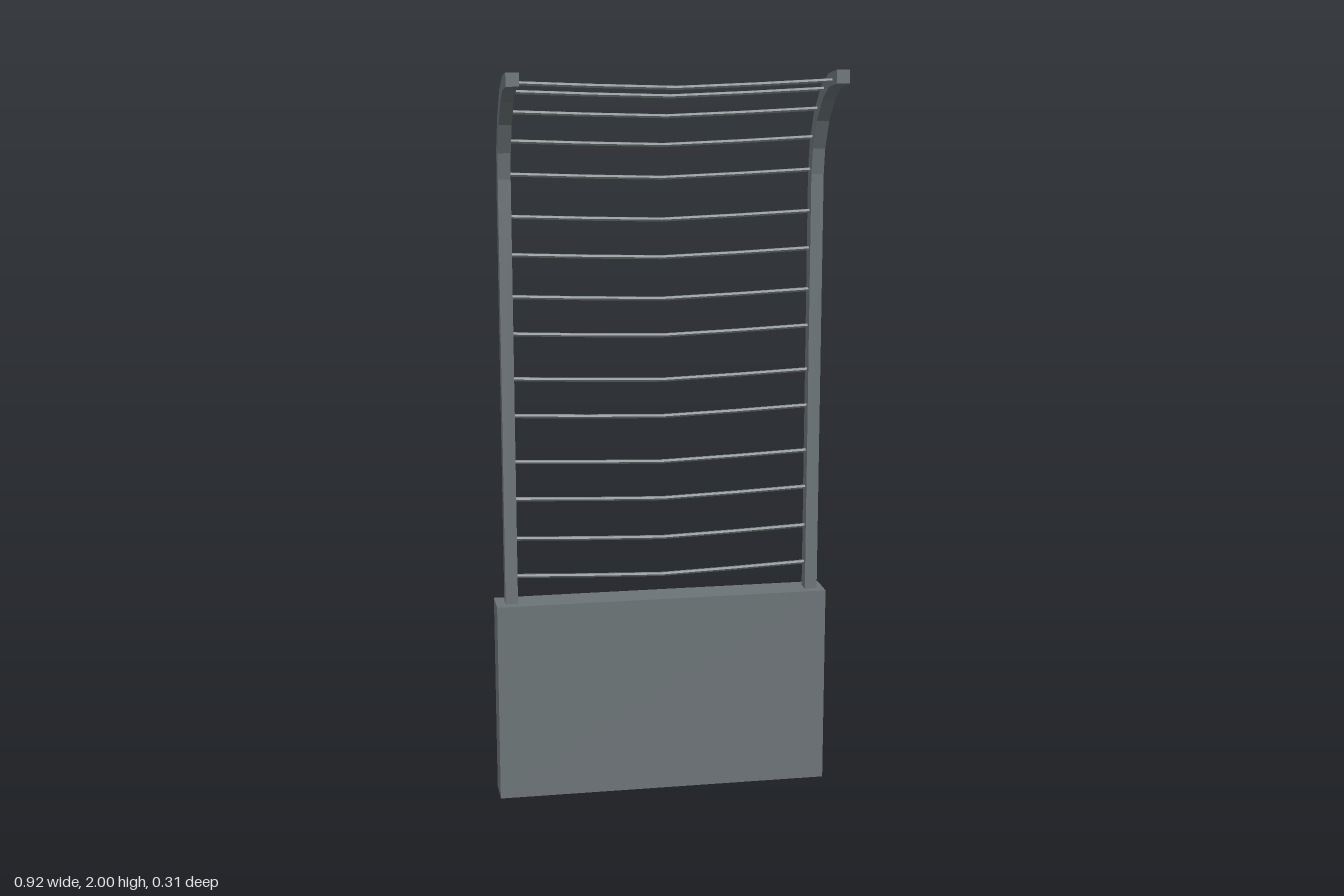
import * as THREE from 'three';

const steel = new THREE.MeshStandardMaterial({ color: 0x6c7477 });
steel.name = 'grey steel';

// Faceted mesh: unshared corners give flat normals
function addPart(group, name, geometry) {
  const flat = geometry.index ? geometry.toNonIndexed() : geometry;
  flat.computeVertexNormals();
  const mesh = new THREE.Mesh(flat, steel);
  mesh.name = name;
  group.add(mesh);
  return mesh;
}

// Side profile of a post as [z, y]: straight up, then bending forward
const outerEdge = [[-0.13, 0.54], [-0.13, 1.713], [-0.117, 1.795], [-0.075, 1.878],
  [-0.005, 1.95], [0.074, 1.987], [0.157, 2.0]];
const innerEdge = [[0.157, 1.965], [0.078, 1.952], [0.016, 1.918], [-0.042, 1.857],
  [-0.08, 1.782], [-0.092, 1.713], [-0.092, 0.54]];

function postGeometry(width) {
  const shape = new THREE.Shape([...outerEdge, ...innerEdge].map(([z, y]) => new THREE.Vector2(z, y)));
  const geo = new THREE.ExtrudeGeometry(shape, { depth: width, bevelEnabled: false });
  geo.translate(0, 0, -width / 2);
  geo.rotateY(-Math.PI / 2);
  return geo;
}

// Thin wire hung between the posts, sagging slightly at the middle
function wireGeometry(y, z) {
  const path = new THREE.CurvePath();
  const sag = [[-0.412, 0], [-0.2, -0.009], [0, -0.0155], [0.2, -0.009], [0.412, 0]];
  const points = sag.map(([x, dy]) => new THREE.Vector3(x + 0.004, y + dy, z));
  for (let i = 1; i < points.length; i++) path.add(new THREE.LineCurve3(points[i - 1], points[i]));
  return new THREE.TubeGeometry(path, 4, 0.006, 6, false);
}

export function createModel() {
  const model = new THREE.Group();
  model.name = 'wireFence';

  // Solid base block
  addPart(model, 'base', new THREE.BoxGeometry(0.92, 0.555, 0.093)).position.set(0, 0.2775, -0.1115);

  // Curved posts
  addPart(model, 'rightPost', postGeometry(0.034)).position.x = -0.417;
  addPart(model, 'leftPost', postGeometry(0.034)).position.x = 0.424;

  // Wires on the straight part, then those following the bend
  const wires = [0.629, 0.735, 0.846, 0.95, 1.077, 1.178, 1.3, 1.4, 1.512, 1.613].map((y) => [y, -0.111]);
  wires.push([1.724, -0.11], [1.812, -0.09], [1.89, -0.043], [1.945, 0.022], [1.971, 0.107]);
  const wireGroup = new THREE.Group();
  wireGroup.name = 'wires';
  for (const [y, z] of wires) addPart(wireGroup, 'wire', wireGeometry(y, z));
  model.add(wireGroup);

  return model;
}
